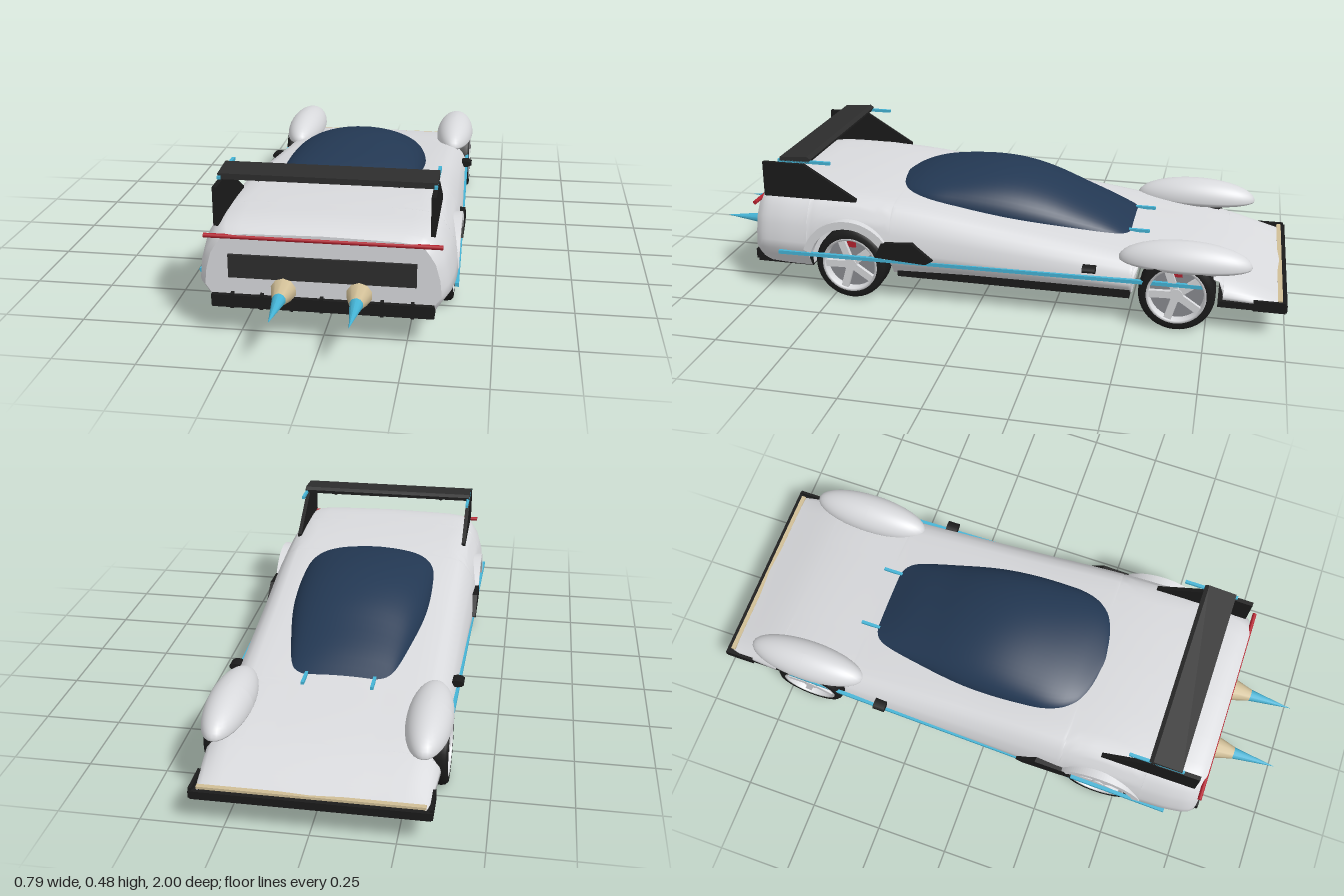
import * as THREE from 'three';

const mat = (name, color, side = THREE.FrontSide) => {
  const m = new THREE.MeshStandardMaterial({ color, side });
  m.name = name;
  return m;
};

// smooth or linear lookup through [position, value] pairs
const lookup = (pairs, Type = THREE.CubicInterpolant) => {
  const f = new Type(pairs.map(p => p[0]), pairs.map(p => p[1]), 1);
  return t => f.evaluate(t)[0];
};

// skin a list of equal-length cross-sections (arrays of [x, y, z])
function loft(rows) {
  const n = rows[0].length, index = [];
  for (let i = 0; i < rows.length - 1; i++)
    for (let j = 0; j < n - 1; j++) {
      const a = i * n + j, b = a + n;
      index.push(a, b, a + 1, b, b + 1, a + 1);
    }
  const g = new THREE.BufferGeometry();
  g.setAttribute('position', new THREE.Float32BufferAttribute(rows.flat(2), 3));
  g.setIndex(index);
  g.computeVertexNormals();
  return g;
}

const WHEELS = { rear: 0.435, front: -0.655 };
const WHEEL_Y = 0.125, ARCH = 0.145, FLOOR = 0.1;

// body curves along z
const bodyTop = lookup([[-0.98, 0.12], [-0.8, 0.178], [-0.47, 0.232], [-0.1, 0.287], [0.32, 0.346],
  [0.6, 0.356], [0.72, 0.35], [0.76, 0.338], [0.775, 0.328]]);
const bodyWidth = lookup([[-0.98, 0.335], [-0.9, 0.345], [-0.8, 0.354], [-0.4, 0.366], [0, 0.375],
  [0.3, 0.384], [0.6, 0.387], [0.7, 0.38], [0.76, 0.364], [0.775, 0.35]]);
// relative half-width against relative height
const sideShape = lookup([[0, 0.88], [0.27, 1], [0.49, 0.985], [0.71, 0.945], [0.82, 0.9], [0.905, 0.86],
  [0.965, 0.78], [0.99, 0.65], [1, 0.4]], THREE.LinearInterpolant);
const LEVELS = [0, 0.14, 0.27, 0.38, 0.49, 0.6, 0.71, 0.82, 0.905, 0.94, 0.965, 0.99, 1];

function lowerEdge(z) {
  for (const c of Object.values(WHEELS)) {
    const d = Math.abs(z - c);
    if (d < ARCH) return Math.min(WHEEL_Y + Math.sqrt(ARCH * ARCH - d * d), bodyTop(z) - 0.015);
  }
  return FLOOR;
}

function bodySection(z) {
  const top = bodyTop(z), w = bodyWidth(z), low = lowerEdge(z);
  const half = LEVELS.map(t => {
    const y = low + (top - low) * t;
    return [w * sideShape((y - FLOOR) / (top - FLOOR)), y, z];
  });
  return [...half, [0, top + 0.003, z], ...half.map(([x, y]) => [-x, y, z]).reverse()];
}

export function createModel() {
  const white = mat('body white', 0xd9dadd, THREE.DoubleSide);
  const black = mat('trim black', 0x1b1b1b);
  const dark = mat('wing charcoal', 0x2d2d2d);
  const navy = mat('canopy navy', 0x233853, THREE.DoubleSide);
  const cyan = mat('glow cyan', 0x45b4d6);
  const tan = mat('nozzle tan', 0xd0be96);
  const red = mat('light red', 0xb5222f);
  const grey = mat('rim shadow grey', 0x8b8d92);

  const car = new THREE.Group();
  car.name = 'car';
  const add = (name, geo, material, x = 0, y = 0, z = 0, parent = car) => {
    const m = new THREE.Mesh(geo, material);
    m.name = name;
    m.position.set(x, y, z);
    parent.add(m);
    return m;
  };
  const box = (name, material, w, h, d, x, y, z, parent) =>
    add(name, new THREE.BoxGeometry(w, h, d), material, x, y, z, parent);
  // side plate: outline in (z, y), thickness along x, centred on x
  const plate = (name, shape, t, material, x, y = 0, z = 0) => {
    const g = new THREE.ExtrudeGeometry(shape, { depth: t, bevelEnabled: false, curveSegments: 24 });
    g.translate(0, 0, -t / 2).rotateY(-Math.PI / 2);
    return add(name, g, material, x, y, z);
  };
  const outline = pts => new THREE.Shape(pts.map(p => new THREE.Vector2(...p)));

  // body shell, with extra sections at the arch ends
  const zs = [];
  for (let i = 0; i <= 117; i++) zs.push(-0.98 + i * 0.015);
  for (const c of Object.values(WHEELS))
    for (const e of [-ARCH, ARCH]) zs.push(c + e - 0.0005, c + e + 0.0005);
  zs.sort((a, b) => a - b);
  add('bodyShell', loft(zs.map(bodySection)), white);
  const tail = bodySection(0.775);
  add('tailFace', new THREE.ShapeGeometry(outline(tail.map(p => [p[0], p[1]]))), white, 0, 0, 0.775);

  // wheel-bay walls and underside
  for (const [z, top, hw] of [[0.287, 0.3, 0.325], [-0.507, 0.2, 0.315], [0.585, 0.3, 0.325], [-0.803, 0.16, 0.305]])
    box('bayWall', white, hw * 2, top - 0.1, 0.008, 0, (top + 0.1) / 2, z);
  box('floorPan', black, 0.69, 0.028, 0.78, 0, 0.104, -0.115);
  box('rearFloor', black, 0.66, 0.03, 0.2, 0, 0.108, 0.683);
  box('frontSplitter', black, 0.69, 0.02, 0.215, 0, 0.1, -0.892);
  box('splitterStrip', tan, 0.66, 0.008, 0.015, 0, 0.12, -0.978);
  box('splitterLip', black, 0.7, 0.022, 0.012, 0, 0.105, -0.994);

  // canopy
  const canopyWidth = lookup([[-0.48, 0.165], [-0.3, 0.2], [-0.1, 0.232], [0.1, 0.236], [0.2, 0.226],
    [0.26, 0.2], [0.3, 0.16], [0.32, 0.11], [0.332, 0.03]]);
  const canopyTop = lookup([[-0.48, 0.236], [-0.4, 0.283], [-0.29, 0.332], [-0.19, 0.374], [-0.09, 0.401],
    [0, 0.41], [0.12, 0.403], [0.24, 0.381], [0.332, 0.349]]);
  const canopyRows = [];
  for (let i = 0; i <= 40; i++) {
    const z = -0.48 + 0.812 * Math.sin(i / 40 * Math.PI / 2);
    const base = bodyTop(z) - 0.015, row = [];
    for (let j = 0; j <= 28; j++) {
      const a = j / 28 * Math.PI;
      row.push([canopyWidth(z) * Math.cos(a), base + (canopyTop(z) - base) * Math.pow(Math.sin(a), 0.9), z]);
    }
    canopyRows.push(row);
  }
  add('canopy', loft(canopyRows), navy);

  // tail details
  box('rearPanel', dark, 0.555, 0.072, 0.012, 0, 0.226, 0.778);
  add('tailLightBar', new THREE.CylinderGeometry(0.007, 0.007, 0.7, 10).rotateZ(Math.PI / 2), red, 0, 0.315, 0.772);
  box('diffuser', black, 0.66, 0.034, 0.03, 0, 0.118, 0.775);
  for (let i = -3; i <= 3; i++) box('diffuserFin', black, 0.01, 0.046, 0.04, i * 0.089, 0.119, 0.775);

  // rear wing
  plate('wingBlade', outline([[0.572, 0.474], [0.585, 0.483], [0.682, 0.476], [0.682, 0.458], [0.58, 0.46]]),
    0.65, dark, 0);

  const endPlate = outline([[0.745, 0.335], [0.745, 0.455], [0.6, 0.455], [0.42, 0.345], [0.42, 0.335]]);
  const vent = outline([[0.34, 0.17], [0.315, 0.224], [0.21, 0.229], [0.14, 0.175], [0.165, 0.16], [0.3, 0.168]]);
  const flare = new THREE.Shape();
  flare.absarc(0, 0, 0.163, 0.3, Math.PI - 0.3, false);
  flare.absarc(0, 0, 0.136, Math.PI - 0.3, 0.3, true);

  // front fender: flattened-bottom ellipsoid
  const fender = new THREE.SphereGeometry(1, 32, 24);
  const fp = fender.attributes.position;
  for (let i = 0; i < fp.count; i++) if (fp.getY(i) < 0) fp.setY(i, fp.getY(i) * 0.4);
  fender.scale(0.071, 0.072, 0.212);
  fender.computeVertexNormals();

  // tyre and rim turned around the axle
  const turned = pts => new THREE.LatheGeometry(pts.map(p => new THREE.Vector2(...p)), 40).rotateZ(-Math.PI / 2);
  const tyre = turned([[0.096, -0.05], [0.112, -0.05], [0.12, -0.042], [0.122, -0.03], [0.122, 0.03],
    [0.12, 0.042], [0.112, 0.05], [0.096, 0.05]]);
  const rim = turned([[0.098, -0.046], [0.098, 0.049], [0.088, 0.049], [0.086, 0.02]]);
  const disc = new THREE.CylinderGeometry(0.097, 0.097, 0.01, 36).rotateZ(Math.PI / 2);

  for (const s of [-1, 1]) {
    plate('wingEndPlate', endPlate, 0.014, black, s * 0.319);
    box('wingTipLight', cyan, 0.01, 0.01, 0.185, s * 0.32, 0.464, 0.597);
    add('wingMount', new THREE.CylinderGeometry(0.009, 0.009, 0.03, 8).rotateX(Math.PI / 2), black, s * 0.21, 0.452, 0.63);

    plate('sideVent', vent, 0.03, black, s * 0.375);
    plate('rearArchFlare', flare, 0.032, white, s * 0.373, WHEEL_Y, WHEELS.rear);
    add('frontFender', fender, white, s * 0.306, 0.216, -0.673);
    add('sidePod', new THREE.CylinderGeometry(0.013, 0.013, 0.05, 10).rotateX(Math.PI / 2).scale(1.7, 0.9, 0.85),
      black, s * 0.366, 0.19, -0.375);

    // side glow strip tapering inward toward the nose
    const strip = box('sideGlowStrip', cyan, 0.012, 0.012, 1.44, s * 0.373, 0.16, -0.04);
    strip.rotation.y = s * 0.021;
    box('cowlGlowRod', cyan, 0.01, 0.01, 0.07, s * 0.11, 0.233, -0.507);
    box('splitterEndPlate', black, 0.01, 0.035, 0.1, s * 0.345, 0.107, -0.945);

    // thruster nozzle and flame
    add('thrusterNozzle', new THREE.CylinderGeometry(0.02, 0.039, 0.065, 10).rotateX(Math.PI / 2), tan, s * 0.112, 0.16, 0.822);
    add('thrusterFlame', new THREE.ConeGeometry(0.023, 0.165, 10).rotateX(Math.PI / 2), cyan, s * 0.112, 0.16, 0.9175);

    for (const [end, z] of Object.entries(WHEELS)) {
      const wheel = new THREE.Group();
      wheel.name = end + 'Wheel';
      wheel.position.set(s * 0.32, WHEEL_Y, z);
      if (s < 0) wheel.rotation.y = Math.PI;
      car.add(wheel);
      add('tyre', tyre, black, 0, 0, 0, wheel);
      add('rim', rim, white, 0, 0, 0, wheel);
      add('rimBack', disc, grey, 0.015, 0, 0, wheel);
      add('innerDisc', disc, white, -0.036, 0, 0, wheel);
      add('hub', new THREE.CylinderGeometry(0.022, 0.022, 0.03, 16).rotateZ(Math.PI / 2), white, 0.032, 0, 0, wheel);
      box('brakeCaliper', red, 0.008, 0.022, 0.03, 0.021, 0.066, 0, wheel);
      for (let i = 0; i < 5; i++) {
        const spoke = new THREE.BoxGeometry(0.014, 0.078, 0.024).translate(0, 0.053, 0).rotateX(i * Math.PI * 0.4 + 0.35);
        add('spoke', spoke, white, 0.036, 0, 0, wheel);
      }
    }
  }
  return car;
}
